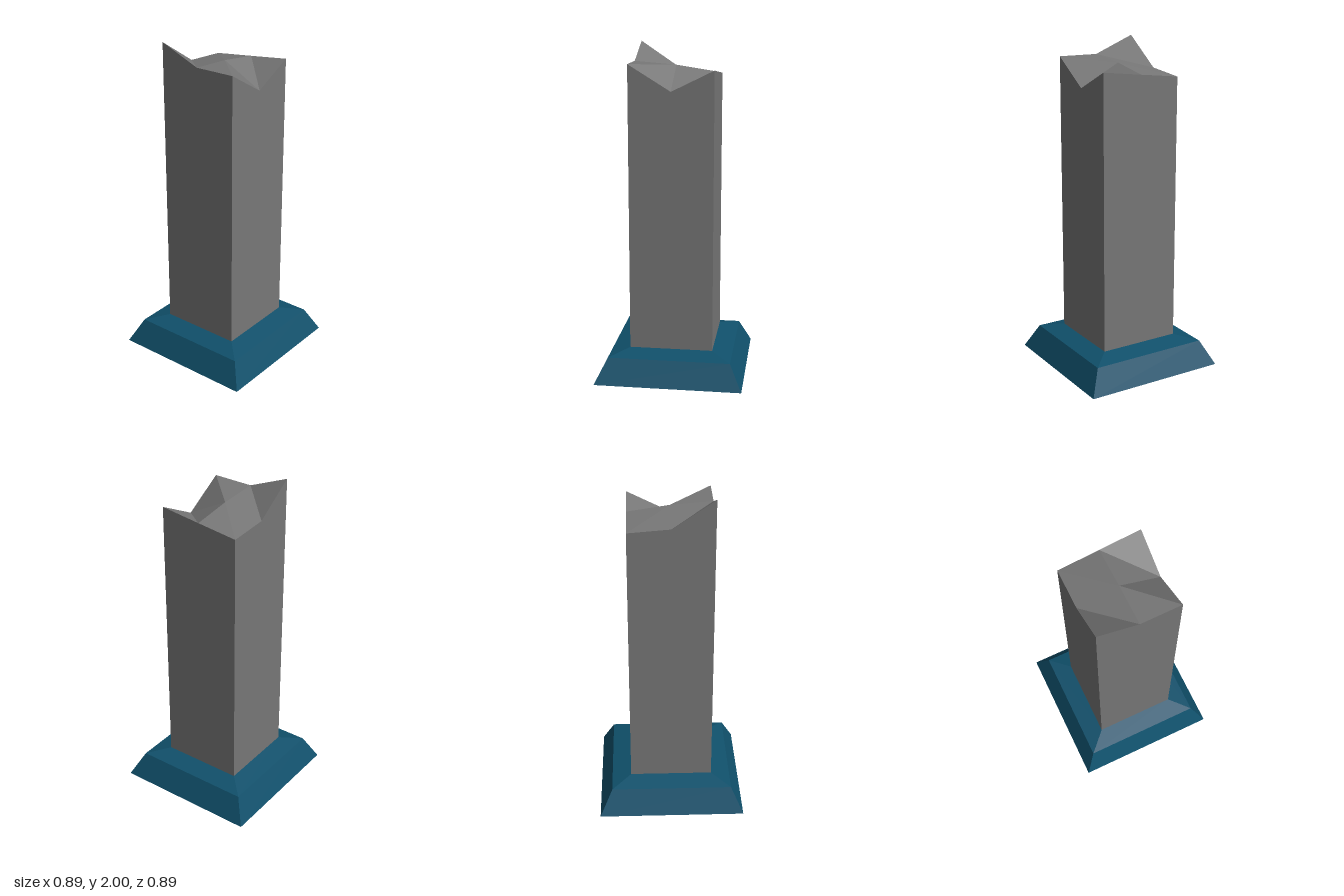
import * as THREE from 'three';

const stone = new THREE.MeshStandardMaterial({ color: 0x777777, flatShading: true });
stone.name = 'grey stone';
const blue = new THREE.MeshStandardMaterial({ color: 0x10506b, flatShading: true });
blue.name = 'deep blue';

// Square frustum given half-widths and heights
function frustum(name, bottom, top, y0, y1) {
  const geo = new THREE.CylinderGeometry(
    top * Math.SQRT2, bottom * Math.SQRT2, y1 - y0, 4, 1, false, Math.PI / 4);
  const mesh = new THREE.Mesh(geo, blue);
  mesh.name = name;
  mesh.position.y = (y0 + y1) / 2;
  return mesh;
}

export function createModel() {
  const model = new THREE.Group();
  model.name = 'brokenPillar';

  // Stepped plinth
  model.add(frustum('plinthFoot', 0.445, 0.37, 0, 0.15));
  model.add(frustum('plinthShoulder', 0.37, 0.25, 0.15, 0.18));

  // Broken top heights: rows back to front, columns from -x to +x
  const heights = [
    [2.0, 1.83, 1.81],
    [1.9, 1.88, 1.842],
    [1.905, 1.75, 1.875],
  ];
  const half = 0.252, base = 0.18;
  const geo = new THREE.BoxGeometry(2 * half, 1, 2 * half, 2, 1, 2);
  const pos = geo.attributes.position;
  for (let i = 0; i < pos.count; i++) {
    const col = Math.round(pos.getX(i) / half) + 1;
    const row = Math.round(pos.getZ(i) / half) + 1;
    pos.setY(i, pos.getY(i) > 0 ? heights[row][col] : base);
  }
  const flat = geo.toNonIndexed();
  flat.computeVertexNormals();
  const pillar = new THREE.Mesh(flat, stone);
  pillar.name = 'pillar';
  model.add(pillar);

  return model;
}
